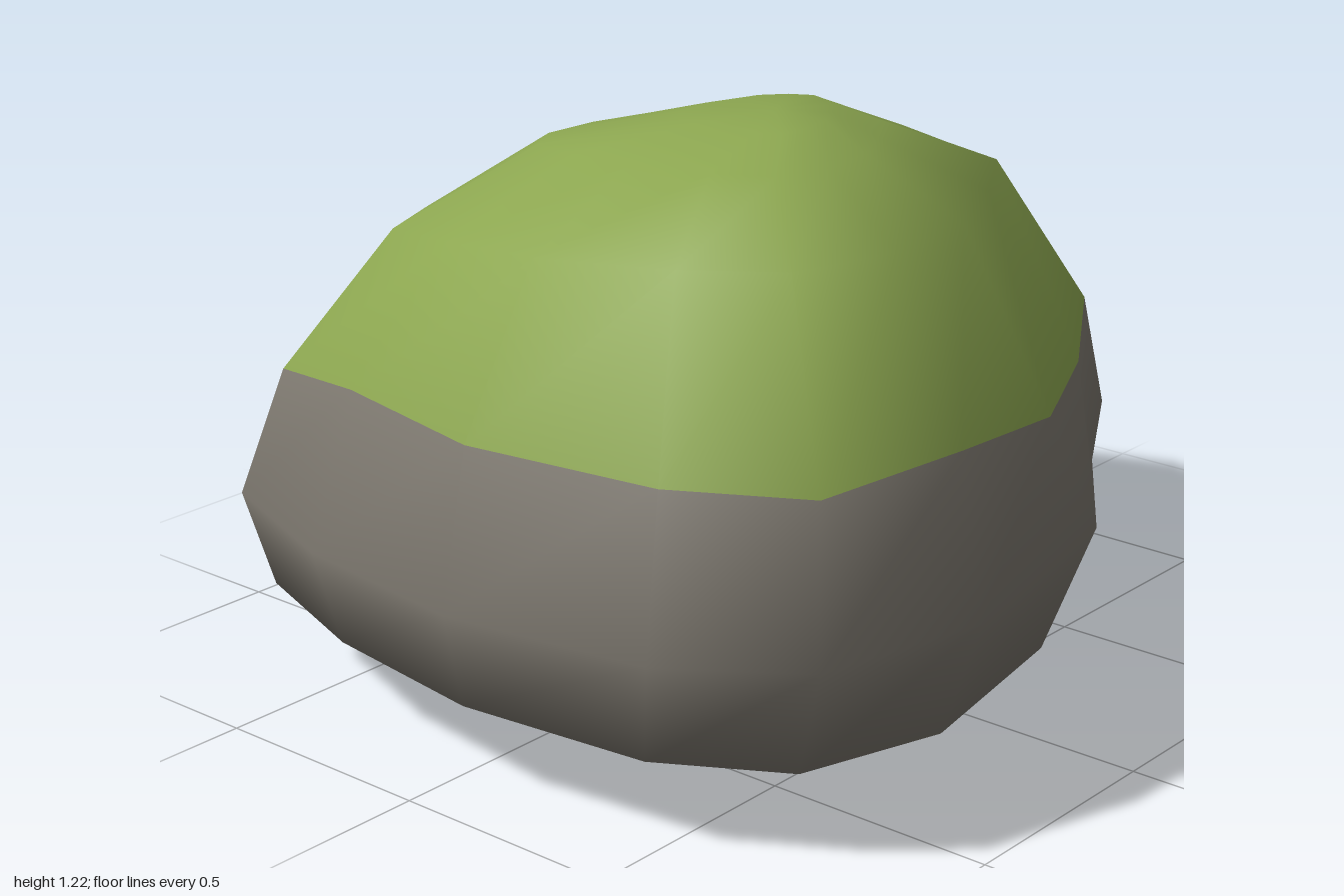
import * as THREE from 'three';

// Widest outline of the boulder [x, z], from the back round by +x
const girth = [
  [-0.09, -1], [0.21, -0.86], [0.47, -0.66], [0.65, -0.35], [0.86, -0.05], [0.945, 0.45],
  [0.84, 0.79], [0.57, 0.95], [0.11, 1], [-0.32, 0.935], [-0.68, 0.8], [-0.9, 0.48],
  [-0.945, 0.08], [-0.84, -0.32], [-0.65, -0.64], [-0.4, -0.9],
];

// Wavy line where moss meets stone [x, y, z]
const mossLine = [
  [-0.09, 0.81, -0.89], [0.16, 0.81, -0.76], [0.44, 0.715, -0.62], [0.64, 0.695, -0.3],
  [0.81, 0.71, 0.05], [0.87, 0.76, 0.42], [0.82, 0.755, 0.77], [0.55, 0.745, 0.89],
  [0.11, 0.735, 0.93], [-0.28, 0.735, 0.85], [-0.6, 0.68, 0.74], [-0.8, 0.655, 0.42],
  [-0.82, 0.7, 0.06], [-0.72, 0.71, -0.28], [-0.61, 0.73, -0.59], [-0.37, 0.8, -0.8],
];
const N = girth.length;

// Scaled and shifted copy of an outline, with a height rule
function ring(outline, sx, sz, cx, cz, height) {
  return outline.map((p) => {
    const x = p[0] * sx + cx;
    const z = p[p.length - 1] * sz + cz;
    return [x, height(x, z), z];
  });
}

export function createModel() {
  // Cross-sections from the underside to the crown
  const rings = [
    ring(girth, 0.32, 0.28, 0, 0.06, (x) => 0.015 + 0.02 * x),
    ring(girth, 0.615, 0.585, -0.01, 0.045, (x) => 0.055 + 0.01 * x),
    ring(girth, 0.92, 0.885, -0.017, 0.045, () => 0.2),
    ring(girth, 1, 1, 0, 0, (x, z) => 0.445 + 0.02 * x - 0.03 * z),
    mossLine,
    ring(mossLine, 0.735, 0.735, 0.03, 0.055, (x, z) => 1.0 + 0.11 * x + 0.07 * z * z),
    ring(mossLine, 0.44, 0.395, 0.04, 0.08, (x, z) => 1.14 + 0.07 * x + 0.1 * z * z),
    ring(mossLine, 0.19, 0.19, 0.14, 0.09, (x) => 1.205 + 0.045 * x),
  ];
  const mossStart = 4;
  const points = rings.flat();
  const bottom = points.push([0, 0, 0.05]) - 1;
  const top = points.push([0.16, 1.22, 0.09]) - 1;

  // Faces, sorted into stone and moss
  const stone = [];
  const moss = [];
  const last = (rings.length - 1) * N;
  for (let i = 0; i < N; i++) {
    const j = (i + 1) % N;
    stone.push(bottom, i, j);
    for (let r = 0; r < rings.length - 1; r++) {
      const a = r * N + i, b = r * N + j;
      (r < mossStart ? stone : moss).push(a, a + N, b, b, a + N, b + N);
    }
    moss.push(last + i, top, last + j);
  }

  // Normals are shared so shading runs smoothly across the moss line
  const whole = new THREE.BufferGeometry();
  whole.setAttribute('position', new THREE.Float32BufferAttribute(points.flat(), 3));
  whole.setIndex([...stone, ...moss]);
  whole.computeVertexNormals();

  const group = new THREE.Group();
  group.name = 'mossyBoulder';
  const addPart = (name, index, color) => {
    const geometry = whole.clone();
    geometry.setIndex(index);
    const mesh = new THREE.Mesh(geometry, new THREE.MeshStandardMaterial({ color }));
    mesh.name = name;
    group.add(mesh);
  };
  addPart('stoneBase', stone, 0x7d786f);
  addPart('mossCap', moss, 0x8ca650);
  return group;
}
